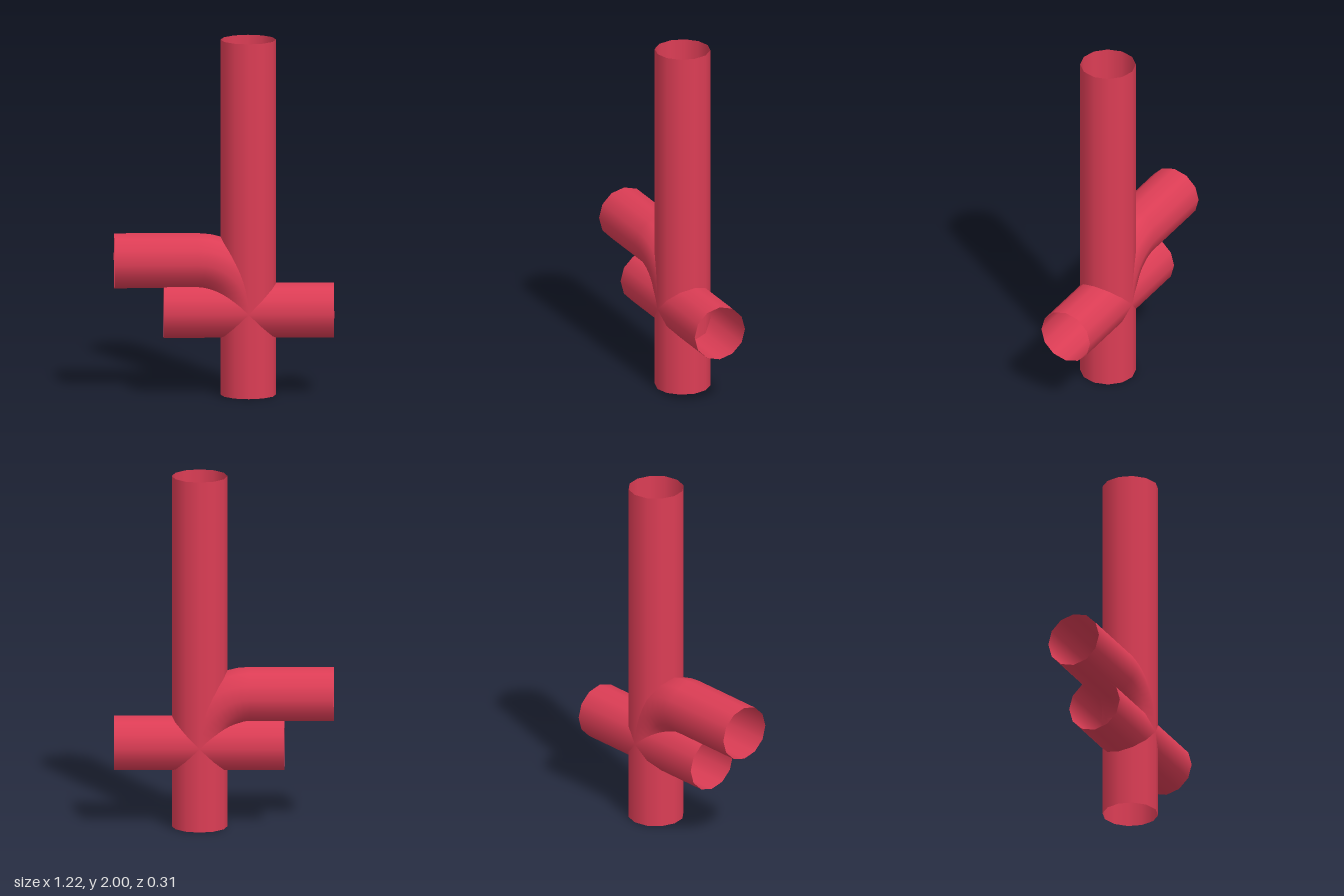
import * as THREE from 'three';

const RADIUS = 0.155, SIDES = 12, BEND = 0.28;
const AXIS_X = 0.135, CROSS_Y = 0.475;

export function createModel() {
  const group = new THREE.Group();
  const material = new THREE.MeshStandardMaterial({ color: 0xdc3d55, side: THREE.DoubleSide });

  const add = (name, geometry, parent = group) => {
    const mesh = new THREE.Mesh(geometry, material);
    mesh.name = name;
    parent.add(mesh);
    return mesh;
  };

  // Open-ended pipe running along x between two ends
  const horizontalPipe = (name, x0, x1, y, parent) => {
    const geometry = new THREE.CylinderGeometry(RADIUS, RADIUS, x1 - x0, SIDES, 1, true);
    geometry.rotateZ(Math.PI / 2).translate((x0 + x1) / 2, y, 0);
    return add(name, geometry, parent);
  };

  // Upright main pipe
  add('mainPipe', new THREE.CylinderGeometry(RADIUS, RADIUS, 2, SIDES, 1, true).translate(AXIS_X, 1, 0));

  // Level pipe crossing the main pipe
  horizontalPipe('crossPipe', -0.335, 0.61, CROSS_Y);

  // Upper branch: straight run and a quarter bend down into the junction
  const branch = new THREE.Group();
  branch.name = 'upperBranch';
  group.add(branch);
  const bendX = AXIS_X - BEND;
  horizontalPipe('branchRun', -0.61, bendX, CROSS_Y + BEND, branch);
  add('branchElbow',
    new THREE.TorusGeometry(BEND, RADIUS, SIDES, 10, Math.PI / 2).translate(bendX, CROSS_Y, 0), branch);

  return group;
}
